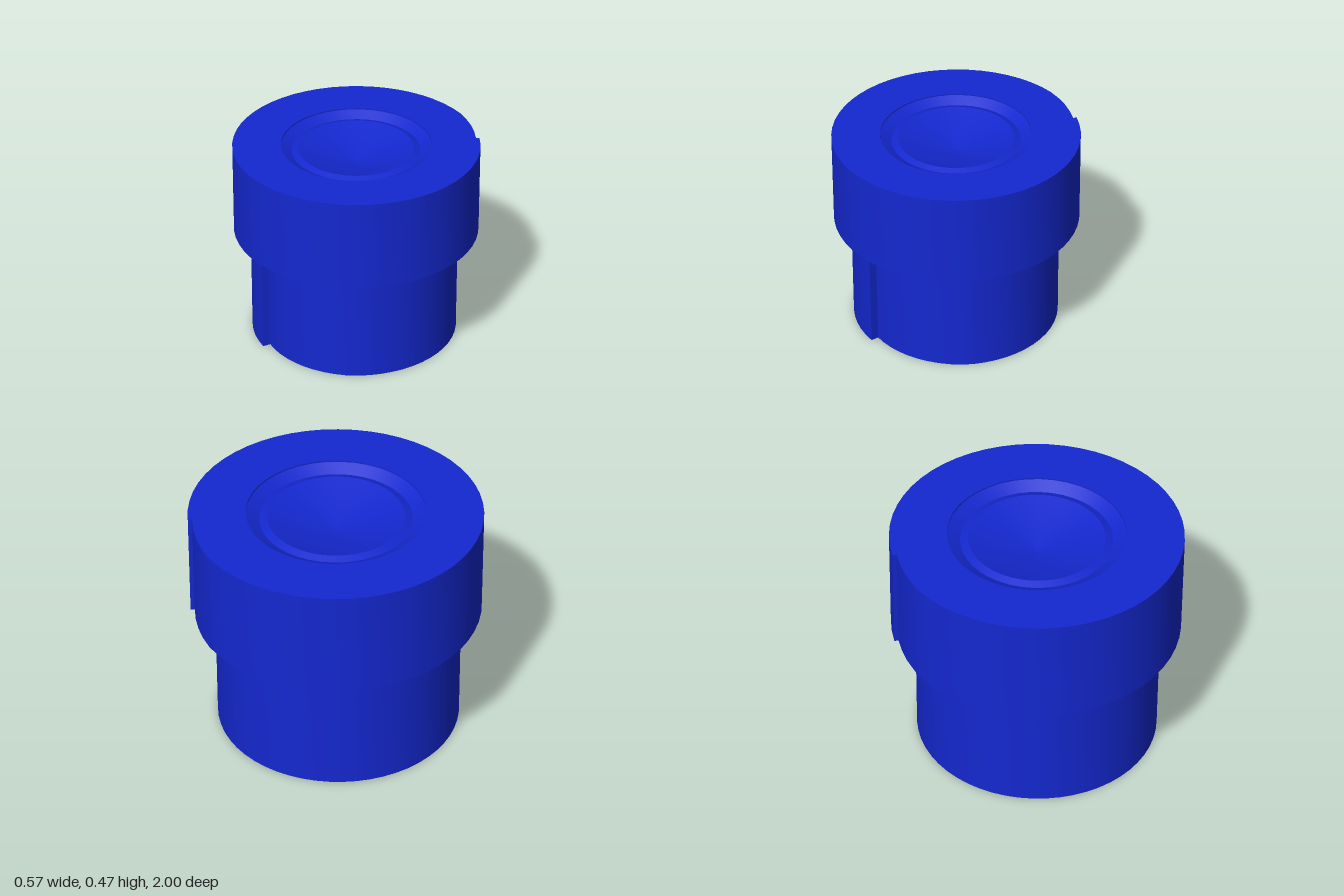
import * as THREE from 'three';
import { toCreasedNormals } from 'three/addons/utils/BufferGeometryUtils.js';

const material = new THREE.MeshStandardMaterial({ color: 0x1428d0 });
const rad = THREE.MathUtils.degToRad;

// Round outline whose radius drops by `step` at angle `from` and eases back at `to`
function rolledOutline(radius, from, to, step, holeRadius) {
  const points = [];
  const count = 56;
  for (let i = 0; i <= count; i++) {
    const angle = rad(from) + (i / count) * Math.PI * 2;
    const t = (angle - rad(from)) / rad(to - from);
    const r = i === count ? radius : radius - step * Math.max(0, 1 - t);
    points.push(new THREE.Vector2(r * Math.cos(angle), r * Math.sin(angle)));
  }
  const shape = new THREE.Shape(points);
  shape.holes.push(new THREE.Path().absarc(0, 0, holeRadius, 0, Math.PI * 2, true));
  return shape;
}

// Upright extrusion between two heights
function drum(name, shape, y0, y1) {
  const geometry = new THREE.ExtrudeGeometry(shape, {
    depth: y1 - y0, bevelEnabled: false, curveSegments: 20,
  });
  geometry.rotateX(-Math.PI / 2);
  geometry.translate(0, y0, 0);
  const mesh = new THREE.Mesh(toCreasedNormals(geometry, rad(30)), material);
  mesh.name = name;
  return mesh;
}

// Turned part from [radius, height] pairs
function turned(name, profile) {
  const points = profile.map(([r, y]) => new THREE.Vector2(r, y));
  const geometry = toCreasedNormals(new THREE.LatheGeometry(points, 40), rad(25));
  const mesh = new THREE.Mesh(geometry, material);
  mesh.name = name;
  return mesh;
}

function createBushing(name) {
  const bushing = new THREE.Group();
  bushing.name = name;

  // Sleeve with a stepped seam panel, and wider collar with a fine seam
  const sleeve = drum('sleeve', rolledOutline(0.236, 30, 90, 0.018, 0.115), 0, 0.255);
  sleeve.position.set(0.004, 0, -0.004);
  const collar = drum('collar', rolledOutline(0.279, 188, 215, 0.008, 0.17), 0.255, 0.465);

  // Underside of the collar and core filling the bore, with a conical dimple on top
  const core = turned('dimpledCore', [
    [0, 0.008], [0.118, 0.008], [0.118, 0.255], [0.172, 0.255],
    [0.172, 0.463], [0.145, 0.45], [0.13, 0.455], [0, 0.42],
  ]);
  bushing.add(sleeve, collar, core);
  return bushing;
}

export function createModel() {
  const model = new THREE.Group();
  model.name = 'bushingPair';

  const front = createBushing('frontBushing');
  front.position.set(0.008, 0, 0.721);

  // The back one is the front one turned half way round
  const back = createBushing('backBushing');
  back.position.set(-0.008, 0, -0.721);
  back.rotation.y = Math.PI;

  model.add(front, back);
  return model;
}
